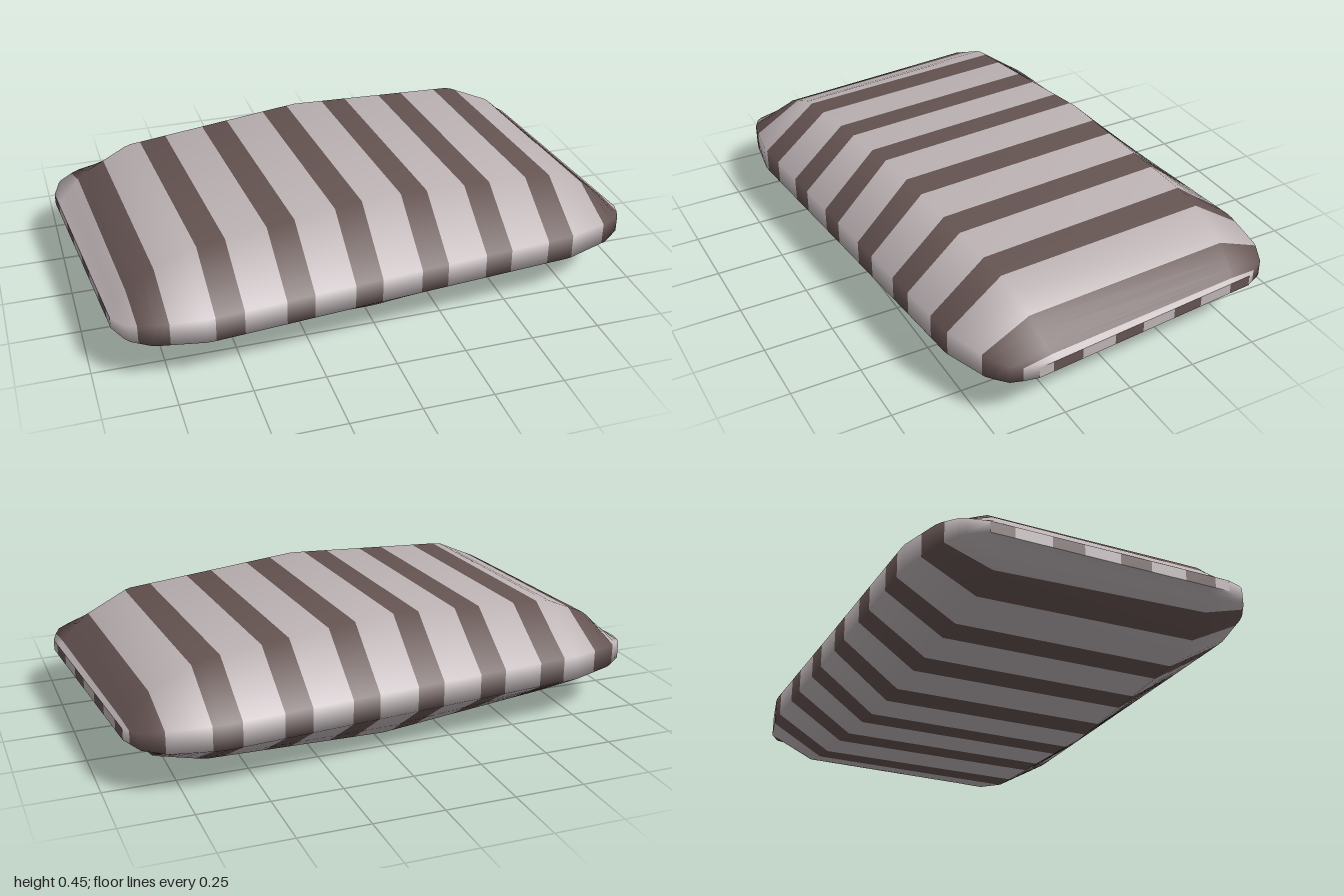
import * as THREE from 'three';

// Cross-section stations: u, half width, flat half width, top, upper edge, lower edge, bottom
const HALF = [
  [0, 0.603, 0.40, 0.45, 0.25, 0.16, 0.0],
  [0.677, 0.604, 0.40, 0.40, 0.25, 0.16, 0.04],
  [0.854, 0.562, 0.39, 0.32, 0.245, 0.165, 0.085],
  [0.929, 0.517, 0.38, 0.25, 0.235, 0.175, 0.165],
  [0.964, 0.437, 0.36, 0.225, 0.225, 0.185, 0.185],
];
const END = 0.964;
const STRIPE = { start: -0.8355, step: 0.2475, half: 0.05, count: 8 };

// Eight-point ring around the cushion at one station
function ring([u, w, f, top, e1, e2, bot]) {
  return [[-f, top], [f, top], [w, e1], [w, e2], [f, bot], [-f, bot], [-w, e2], [-w, e1]]
    .map(([z, y]) => new THREE.Vector3(u, y, z));
}

// Quad indices between ring i and ring i + 1
function bandIndices(i) {
  const out = [];
  for (let j = 0; j < 8; j++) {
    const a = i * 8 + j, b = i * 8 + (j + 1) % 8, c = a + 8, d = b + 8;
    out.push(a, b, c, b, d, c);
  }
  return out;
}

export function createModel() {
  const light = new THREE.MeshStandardMaterial({ color: 0xbcb2b4 });
  light.name = 'pale grey fabric';
  const dark = new THREE.MeshStandardMaterial({ color: 0x645351 });
  dark.name = 'brown stripe fabric';

  // Coarse hull gives the shape and its smooth normals
  const stations = [
    ...HALF.slice(1).reverse().map(([u, ...r]) => [-u, ...r]),
    ...HALF,
  ];
  const hullPts = stations.flatMap(ring);
  const hull = new THREE.BufferGeometry().setFromPoints(hullPts);
  hull.setIndex(stations.slice(1).flatMap((_, i) => bandIndices(i)));
  hull.computeVertexNormals();
  const hullNormals = hullPts.map((_, i) =>
    new THREE.Vector3().fromBufferAttribute(hull.attributes.normal, i));

  // Point and normal on hull line j at length u
  function sample(u, j) {
    let k = 0;
    while (k < stations.length - 2 && u > stations[k + 1][0]) k++;
    const t = (u - stations[k][0]) / (stations[k + 1][0] - stations[k][0]);
    const a = k * 8 + j;
    return {
      p: hullPts[a].clone().lerp(hullPts[a + 8], t),
      n: hullNormals[a].clone().lerp(hullNormals[a + 8], t).normalize(),
    };
  }

  // Fine cuts, including both borders of each stripe
  const cuts = stations.map((s) => s[0]);
  for (let u = -0.94; u < 0.95; u += 0.03) cuts.push(u);
  const centers = Array.from({ length: STRIPE.count }, (_, k) => STRIPE.start + k * STRIPE.step);
  centers.forEach((c) => cuts.push(c - STRIPE.half, c + STRIPE.half));
  cuts.sort((a, b) => a - b);

  const pos = [], nor = [];
  for (const s of cuts) {
    for (let j = 0; j < 8; j++) {
      // Stripes lean slightly, less so at the ends
      const skew = 0.026 * sample(s, j).p.z * (1 - Math.pow(s / END, 20));
      const { p, n } = sample(s - skew, j);
      pos.push(...p.toArray());
      nor.push(...n.toArray());
    }
  }
  const position = new THREE.Float32BufferAttribute(pos, 3);
  const normal = new THREE.Float32BufferAttribute(nor, 3);
  const lightIdx = [], darkIdx = [];
  for (let i = 0; i < cuts.length - 1; i++) {
    if (cuts[i + 1] - cuts[i] < 1e-6) continue;
    const mid = (cuts[i] + cuts[i + 1]) / 2;
    const inStripe = centers.some((c) => Math.abs(mid - c) < STRIPE.half);
    (inStripe ? darkIdx : lightIdx).push(...bandIndices(i));
  }

  const cushion = new THREE.Group();
  cushion.name = 'cushion';
  function addPanels(name, index, material) {
    const g = new THREE.BufferGeometry();
    g.setAttribute('position', position);
    g.setAttribute('normal', normal);
    g.setIndex(index);
    const m = new THREE.Mesh(g, material);
    m.name = name;
    cushion.add(m);
  }
  addPanels('fabricPanels', lightIdx, light);
  addPanels('fabricStripes', darkIdx, dark);

  // Narrow end seams with alternating colours
  const seam = [-0.437, -0.352, -0.222, -0.107, 0.023, 0.138, 0.268, 0.383, 0.437];
  for (const side of [-1, 1]) {
    for (let i = 0; i < seam.length - 1; i++) {
      const m = new THREE.Mesh(
        new THREE.PlaneGeometry(seam[i + 1] - seam[i], 0.04),
        i % 2 ? light : dark);
      m.name = side > 0 ? 'leftEndSeam' : 'rightEndSeam';
      m.position.set(side * END, 0.205, (seam[i] + seam[i + 1]) / 2);
      m.rotation.y = side * Math.PI / 2;
      cushion.add(m);
    }
  }

  // The cushion lies slightly turned
  cushion.rotation.y = 0.089;
  const model = new THREE.Group();
  model.name = 'stripedCushion';
  model.add(cushion);
  return model;
}
